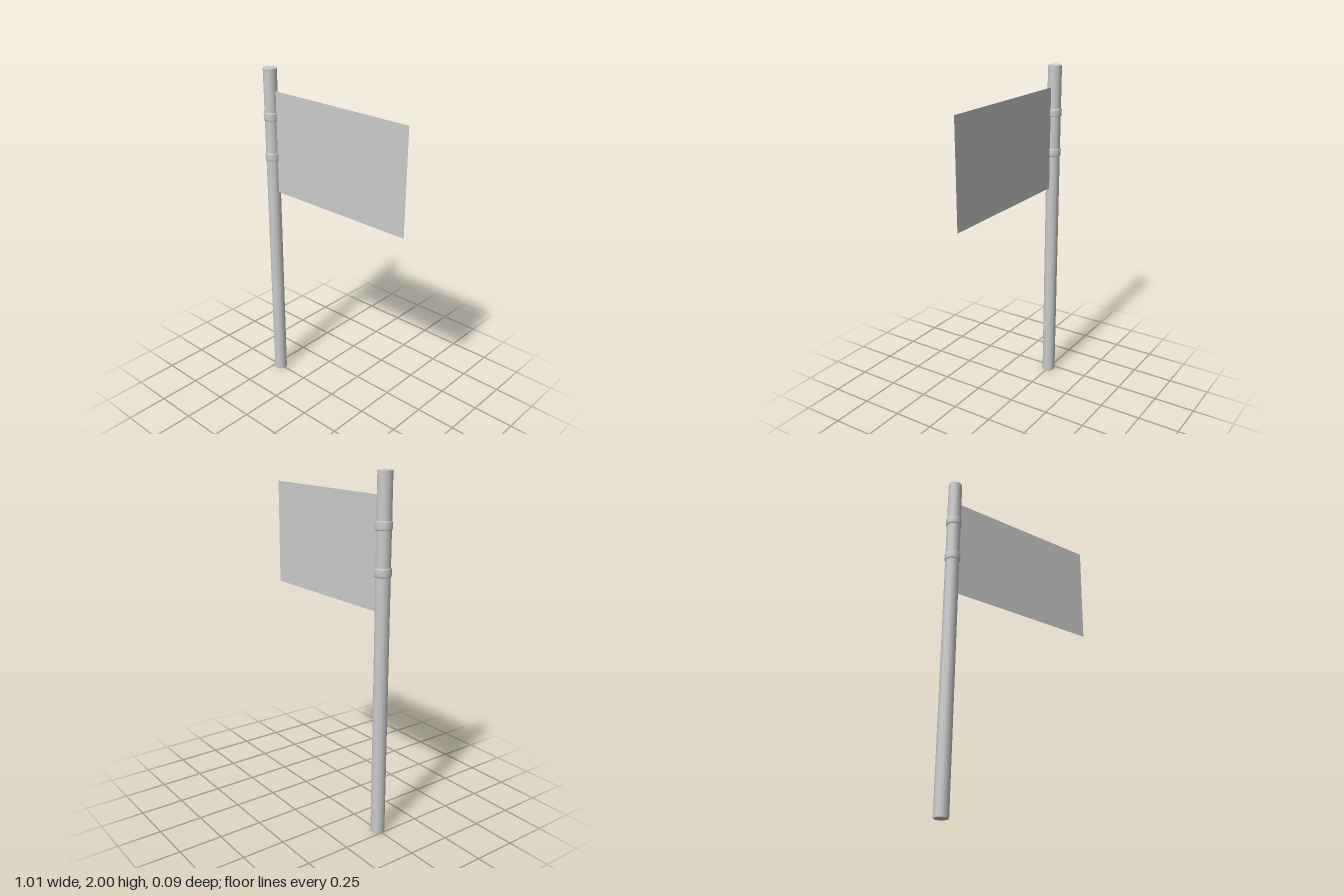
import * as THREE from 'three';

const POLE_X = -0.463;
const SIDES = 12;

export function createModel() {
  const group = new THREE.Group();
  const grey = new THREE.MeshStandardMaterial({ color: 0xcccccc });
  const cloth = new THREE.MeshStandardMaterial({ color: 0xcccccc, side: THREE.DoubleSide });

  // Turned part around the pole axis, from [radius, height] pairs
  function turned(name, profile, y) {
    const points = profile.map(([r, h]) => new THREE.Vector2(r, h));
    const mesh = new THREE.Mesh(new THREE.LatheGeometry(points, SIDES), grey);
    mesh.name = name;
    mesh.position.set(POLE_X, y, 0);
    group.add(mesh);
  }

  // Pole with softly shaded ends
  turned('pole', [[0, 0], [0.037, 0], [0.04, 0.004], [0.04, 1.996], [0.037, 2], [0, 2]], 0);

  // Two bands that hold the flag
  const band = [[0.039, -0.023], [0.043, -0.023], [0.045, -0.017],
    [0.045, 0.017], [0.043, 0.023], [0.039, 0.023]];
  turned('upperBand', band, 1.728);
  turned('lowerBand', band, 1.49);

  // Flat flag, thin as a sheet, reaching just inside the pole
  const left = -0.43, right = 0.505, bottom = 1.27, top = 1.875;
  const flag = new THREE.Mesh(new THREE.PlaneGeometry(right - left, top - bottom, 6, 1), cloth);
  flag.name = 'flag';
  flag.position.set((left + right) / 2, (bottom + top) / 2, 0);
  group.add(flag);

  return group;
}
